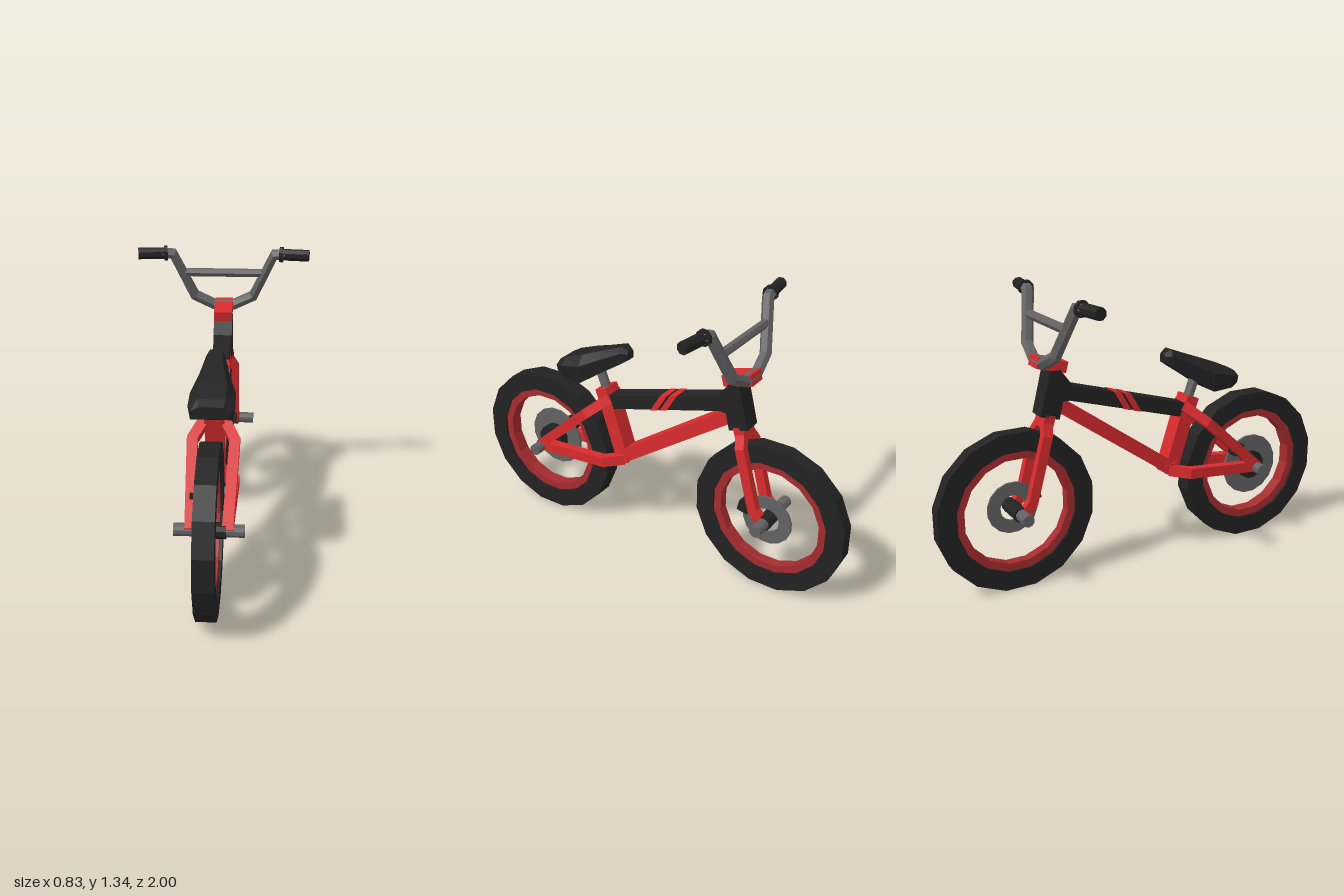
import * as THREE from 'three';

const flat = (name, color) => {
  const m = new THREE.MeshStandardMaterial({ color, flatShading: true });
  m.name = name;
  return m;
};

export function createModel() {
  const bike = new THREE.Group();
  bike.name = 'bike';
  const red = flat('frame red', 0xd82b2d);
  const darkRed = flat('rim red', 0xa52b2e);
  const black = flat('black', 0x222222);
  const grey = flat('metal grey', 0x626262);

  const add = (name, geometry, material, parent = bike) => {
    const mesh = new THREE.Mesh(geometry, material);
    mesh.name = name;
    parent.add(mesh);
    return mesh;
  };

  // Closed solid through equal-sized rings of points
  function loft(rings) {
    const n = rings[0].length, last = (rings.length - 1) * n, index = [];
    for (let i = 0; i < rings.length - 1; i++) {
      for (let j = 0; j < n; j++) {
        const a = i * n + j, b = i * n + (j + 1) % n;
        index.push(a, b, b + n, a, b + n, a + n);
      }
    }
    for (let j = 1; j < n - 1; j++) {
      index.push(0, j + 1, j, last, last + j, last + j + 1);
    }
    const g = new THREE.BufferGeometry().setFromPoints(rings.flat());
    g.setIndex(index);
    const out = g.toNonIndexed();
    out.computeVertexNormals();
    return out;
  }

  // Straight-sided tube along a bent path; section is a list of [u, v]
  function sweep(path, section, ref) {
    const p = path.map((a) => new THREE.Vector3(...a));
    const rings = p.map((c, i) => {
      const dir = (a, b) => p[b].clone().sub(p[a]).normalize();
      const t = new THREE.Vector3();
      if (i > 0) t.add(dir(i - 1, i));
      if (i < p.length - 1) t.add(dir(i, i + 1));
      t.normalize();
      const u = ref.clone().cross(t).normalize();
      const v = t.clone().cross(u);
      return section.map(([a, b]) => c.clone().addScaledVector(u, a).addScaledVector(v, b));
    });
    return loft(rings);
  }
  const rect = (a, b) => [[a, -b], [a, b], [-a, b], [-a, -b]];
  const ngon = (n, r) => Array.from({ length: n }, (_, i) => {
    const a = (i + 0.5) / n * Math.PI * 2;
    return [Math.cos(a) * r, Math.sin(a) * r];
  });
  const X = new THREE.Vector3(1, 0, 0), Z = new THREE.Vector3(0, 0, 1);

  // Side outline of [z, y] points, extruded across x
  function plate(outline, half) {
    const shape = new THREE.Shape(outline.map(([z, y]) => new THREE.Vector2(z, y)));
    const g = new THREE.ExtrudeGeometry(shape, { depth: half * 2, bevelEnabled: false });
    return g.translate(0, 0, -half).rotateY(-Math.PI / 2);
  }

  // Ring or disc around the x axis
  function ring(rin, rout, x0, x1, n = 16) {
    const pts = [[rin, x0], [rout, x0], [rout, x1], [rin, x1]];
    if (rin > 0) pts.push([rin, x0]);
    const profile = pts.map(([r, y]) => new THREE.Vector2(r, y));
    return new THREE.LatheGeometry(profile, n, Math.PI / n).rotateZ(-Math.PI / 2);
  }

  // Wheels with hubs and pegs
  function wheel(name, z, w) {
    const g = new THREE.Group();
    g.name = name;
    g.position.set(0, 0.373, z);
    bike.add(g);
    add('tyre', ring(0.287, 0.377, -w, w), black, g);
    add('rim', ring(0.25, 0.289, -w * 0.7, w * 0.7), darkRed, g);
    add('hub', ring(0, 0.036, -0.072, 0.072, 10), black, g);
    add('axlePegs', ring(0, 0.028, -0.15, 0.15, 10), grey, g);
    return g;
  }
  const rear = wheel('rearWheel', 0.628, 0.044);
  add('rearDisc', ring(0.06, 0.152, -0.04, -0.028), grey, rear);
  add('rearHubShell', ring(0, 0.072, -0.056, 0.02, 12), black, rear);
  const front = wheel('frontWheel', -0.628, 0.033);
  add('frontDisc', ring(0.06, 0.122, 0.028, 0.038), grey, front);

  // Brake calipers
  add('rearCaliper', new THREE.BoxGeometry(0.055, 0.05, 0.06), black).position.set(-0.06, 0.475, 0.53);
  const caliper = add('frontCaliper', new THREE.BoxGeometry(0.04, 0.05, 0.055), black);
  caliper.position.set(0.045, 0.415, -0.52);
  caliper.rotation.x = -0.25;

  // Main frame
  add('topTube', sweep([[0, 0.715, 0.24], [0, 0.893, -0.38]], rect(0.034, 0.041), X), black);
  add('headTube', plate([[-0.35, 0.92], [-0.41, 1.0], [-0.46, 1.0], [-0.51, 0.80],
    [-0.42, 0.775], [-0.4, 0.855], [-0.35, 0.855]], 0.045), black);
  add('downTube', sweep([[0, 0.845, -0.42], [0, 0.44, 0.16]], rect(0.032, 0.04), X), red);
  add('seatTube', sweep([[0, 0.74, 0.265], [0, 0.43, 0.165]], rect(0.036, 0.042), X), red);
  add('bottomBracket', plate([[0.13, 0.45], [0.2, 0.47], [0.215, 0.41], [0.17, 0.395],
    [0.13, 0.415]], 0.045), red);
  add('seatCollar', sweep([[0, 0.725, 0.262], [0, 0.775, 0.281]], rect(0.033, 0.045), X), red);
  add('seatPost', sweep([[0, 0.76, 0.276], [0, 0.88, 0.32]], ngon(8, 0.025), X), grey);

  // Two slanted stripes wrapped around the top tube
  for (const z of [0, -0.052]) {
    const tubeY = (zz) => 0.784 - zz * 0.287;
    const lo = (zz) => [zz, tubeY(zz) - 0.038], hi = (zz) => [zz, tubeY(zz) + 0.038];
    add('stripe', plate([lo(z - 0.002), hi(z - 0.056), hi(z - 0.094), lo(z - 0.04)], 0.044), red);
  }

  // Stays and fork legs, mirrored
  for (const s of [1, -1]) {
    add('seatStay', sweep([[s * 0.03, 0.735, 0.235], [s * 0.093, 0.655, 0.33],
      [s * 0.078, 0.375, 0.64]], rect(0.024, 0.024), X), red);
    add('chainStay', sweep([[s * 0.03, 0.425, 0.16], [s * 0.09, 0.415, 0.24],
      [s * 0.078, 0.375, 0.645]], rect(0.025, 0.022), X), red);
    add('forkLeg', sweep([[s * 0.025, 0.765, -0.475], [s * 0.058, 0.71, -0.492],
      [s * 0.058, 0.42, -0.57], [s * 0.058, 0.375, -0.61]], rect(0.023, 0.018), X), red);
  }
  add('forkCrown', sweep([[0, 0.80, -0.463], [0, 0.74, -0.48]], rect(0.026, 0.045), X), red);

  // Stem clamp and handlebar
  const stem = add('stem', new THREE.BoxGeometry(0.088, 0.05, 0.145), red);
  stem.position.set(0, 1.025, -0.447);
  stem.rotation.x = 0.26;
  const half = [[0.05, 1.04, -0.492], [0.145, 1.088, -0.48], [0.245, 1.307, -0.425], [0.3, 1.31, -0.416]];
  const mirrored = half.map(([x, y, z]) => [-x, y, z]).reverse();
  add('handlebar', sweep([...mirrored, ...half], ngon(6, 0.028), Z), grey);
  add('crossbar', sweep([[-0.19, 1.21, -0.45], [0.19, 1.21, -0.45]], ngon(6, 0.021), Z), grey);
  for (const s of [1, -1]) {
    const at = (x) => [s * x, 1.31, -0.416 + (x - 0.3) * 0.14];
    add('grip', sweep([at(0.275), at(0.412)], ngon(8, 0.028), Z), black);
    add('gripFlange', sweep([at(0.272), at(0.288)], ngon(8, 0.037), Z), black);
  }

  // Saddle: [z, half width, bottom, top] from nose to tail
  const saddle = [[0.135, 0.025, 0.955, 1.0], [0.165, 0.042, 0.935, 1.017], [0.27, 0.066, 0.867, 0.976],
    [0.37, 0.098, 0.8, 0.938], [0.47, 0.1, 0.808, 0.9], [0.508, 0.086, 0.825, 0.878]];
  add('saddle', loft(saddle.map(([z, w, b, t]) => {
    const m = t - (t - b) * 0.35;
    return [[w * 0.9, b], [w, m], [w * 0.6, t], [-w * 0.6, t], [-w, m], [-w * 0.9, b]]
      .map(([x, y]) => new THREE.Vector3(x, y, z));
  })), black);

  return bike;
}
